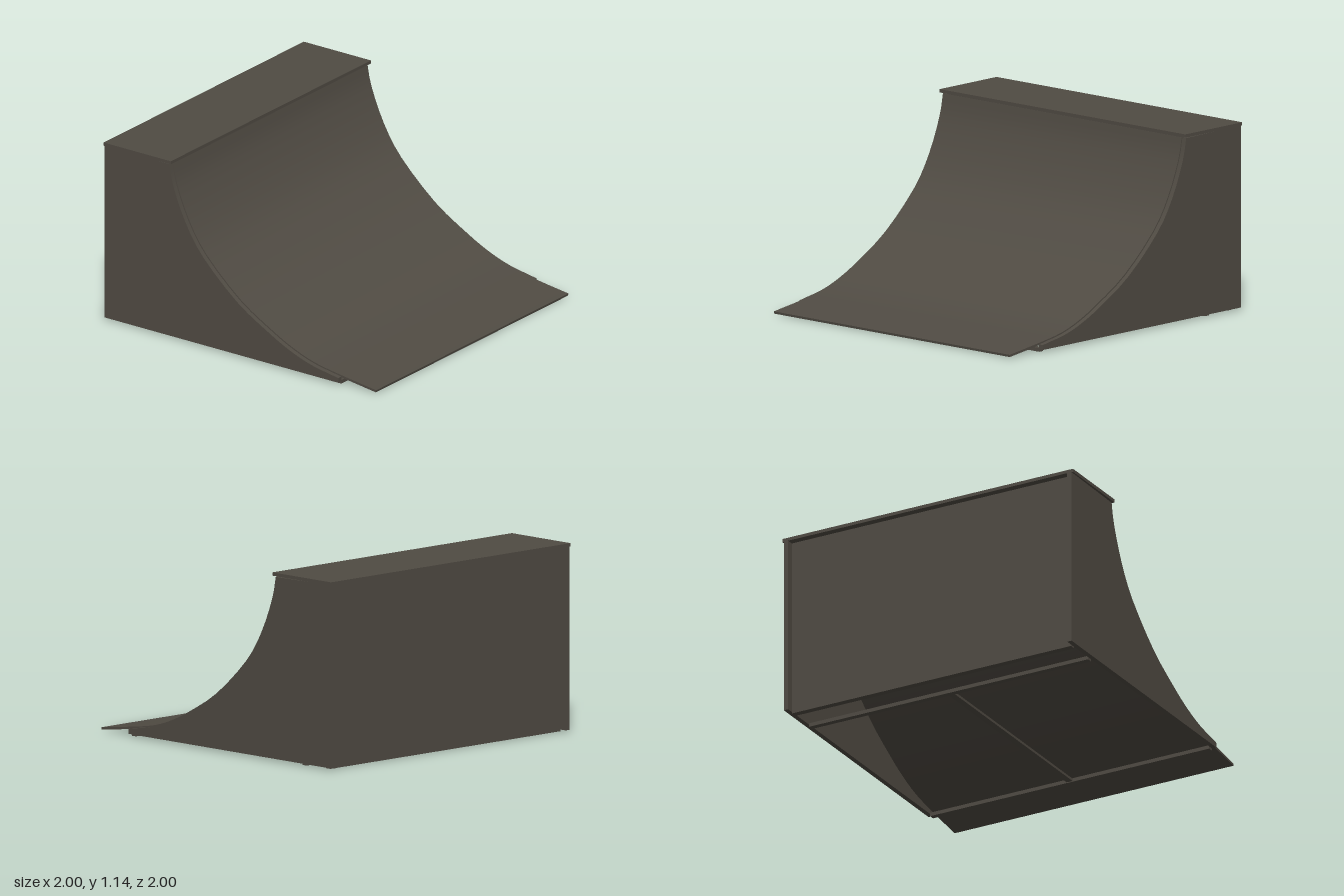
import * as THREE from 'three';
import { toCreasedNormals } from 'three/addons/utils/BufferGeometryUtils.js';

export function createModel() {
  const model = new THREE.Group();
  model.name = 'quarterPipeRamp';

  const plywood = new THREE.MeshStandardMaterial({ color: 0x504b43 });
  plywood.name = 'darkPlywood';

  const add = (name, geometry) => {
    const mesh = new THREE.Mesh(geometry, plywood);
    mesh.name = name;
    model.add(mesh);
    return mesh;
  };

  // box given by its minimum and maximum on each axis
  const board = (name, x0, x1, y0, y1, z0, z1) =>
    add(name, new THREE.BoxGeometry(x1 - x0, y1 - y0, z1 - z0))
      .position.set((x0 + x1) / 2, (y0 + y1) / 2, (z0 + z1) / 2);

  // side profile extruded along z
  const slab = (name, points, z0, z1) => {
    const geometry = new THREE.ExtrudeGeometry(new THREE.Shape(points), {
      depth: z1 - z0, bevelEnabled: false,
    });
    geometry.translate(0, 0, z0);
    return add(name, toCreasedNormals(geometry, 0.5));
  };

  // riding curve, from the lip down to the toe
  const curve = new THREE.SplineCurve([
    [-0.51, 1.125], [-0.48, 0.99], [-0.39, 0.78], [-0.26, 0.59], [-0.01, 0.365],
    [0.225, 0.225], [0.385, 0.147], [0.545, 0.093], [0.74, 0.06], [1, 0.025],
  ].map(([x, y]) => new THREE.Vector2(x, y)));
  const samples = 27;
  const top = [];
  const offsetCurve = (distance) => top.map((p, i) => {
    const t = curve.getTangent(i / samples);
    return new THREE.Vector2(p.x + t.y * distance, p.y - t.x * distance);
  });
  for (let i = 0; i <= samples; i++) top.push(curve.getPoint(i / samples));

  // curved riding sheet
  const under = offsetCurve(0.014);
  slab('ridingSurface', [...top, ...under.reverse()], -0.96, 0.96);

  // side panels follow the curve just below the sheet
  const panelEdge = offsetCurve(0.008).filter((p) => p.x < 0.73);
  const panel = [
    new THREE.Vector2(-1, 0.02), new THREE.Vector2(-1, 1.13),
    ...panelEdge,
    new THREE.Vector2(0.74, 0.05), new THREE.Vector2(0.74, 0.02),
  ];
  slab('leftPanel', panel, 0.96, 0.99);
  slab('rightPanel', panel, -0.99, -0.96);

  // deck, recessed back wall and inner shelf
  board('deck', -1, -0.5, 1.13, 1.15, -1, 1);
  board('backWall', -0.955, -0.915, 0.01, 1.13, -0.96, 0.96);
  board('innerShelf', -0.915, -0.67, 0.37, 0.39, -0.96, 0.96);

  // floor frame
  for (const x of [-0.75, 0.705]) {
    board('crossBeam', x, x + 0.035, 0.005, 0.028, -0.96, 0.96);
  }
  board('centreBeam', -0.75, 0.74, 0.01, 0.026, -0.02, 0.02);

  return model;
}
